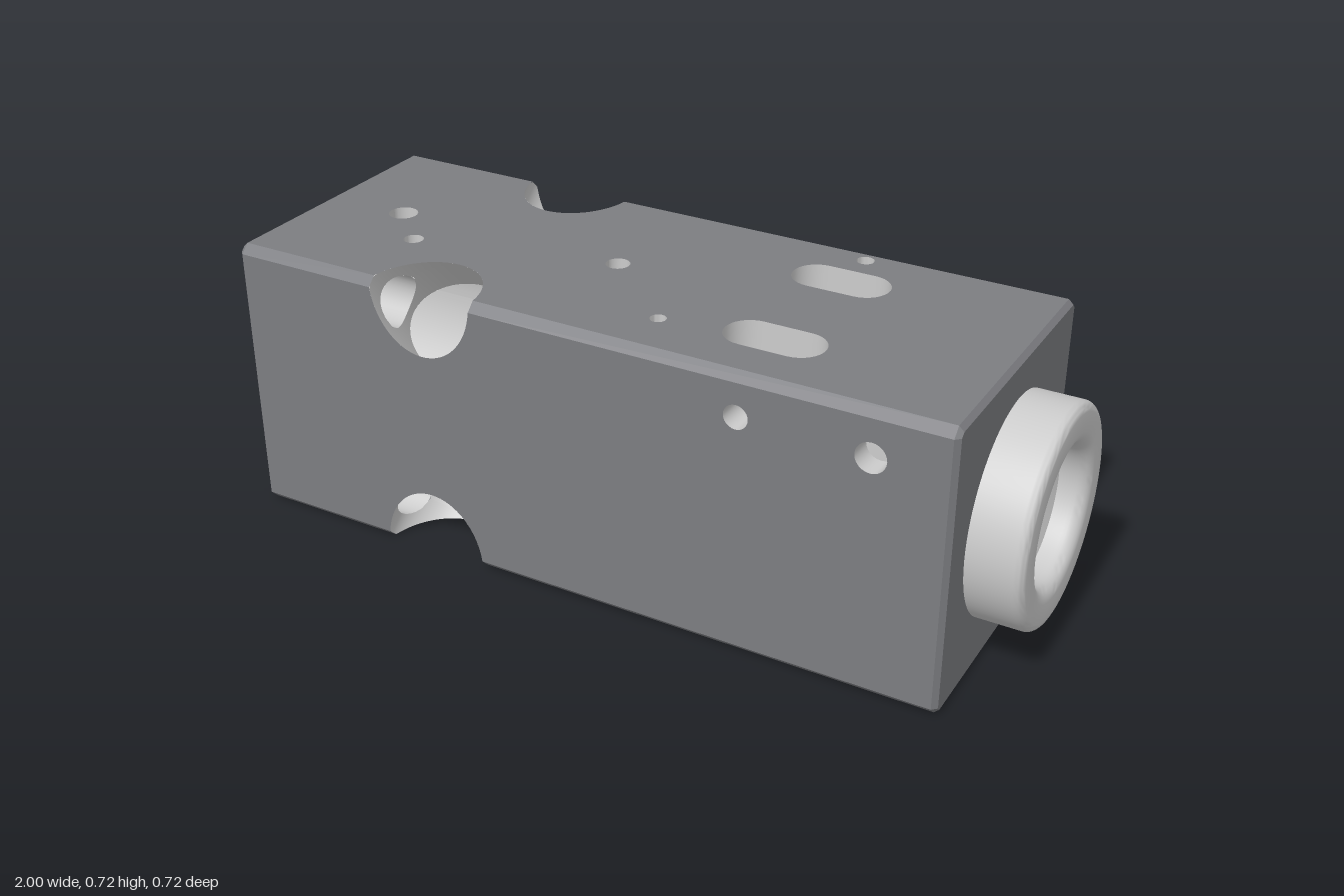
import * as THREE from 'three';
import { toCreasedNormals } from 'three/addons/utils/BufferGeometryUtils.js';

const H = 0.36, C = 0.022, E = 0.012;          // half side, edge chamfer, end chamfer
const X0 = -1, X1 = 0.868, R = 0.285;          // body ends, main bore radius
const NX = -0.463, NA = 0.1415, ND = 0.17;     // edge pocket: centre, half width, depth
const BOLT = 0.265, BR = 0.065;                // bolt hole offset and radius
const SX = 0.3625, SL = 0.059, SR = 0.0635, SW = 0.172; // slots

const dark = new THREE.MeshStandardMaterial({ color: 0x7c7d81, side: THREE.DoubleSide });
const light = new THREE.MeshStandardMaterial({ color: 0xcccccc, side: THREE.DoubleSide });

// Holes per face: k = 0 top, 1 front, 2 bottom, 3 back; w is the cross position
const HOLES = [
  { k: 0, x: -0.77, w: 0, r: 0.037 }, { k: 2, x: -0.77, w: 0, r: 0.037 },
  { k: 0, x: -0.14, w: 0, r: 0.03, d: 0.05 }, { k: 2, x: -0.14, w: 0, r: 0.03, d: 0.05 },
  { k: 0, x: -0.65, w: 0.12, r: 0.025, d: 0.05 },
  { k: 0, x: 0.09, w: 0.21, r: 0.02 }, { k: 2, x: 0.09, w: -0.21, r: 0.02 },
  { k: 0, x: 0.365, w: -0.305, r: 0.022, d: 0.72, open: true },
  { k: 2, x: 0.365, w: 0.305, r: 0.022, d: 0.001, open: true },
  { k: 1, x: 0.365, w: -0.255, r: 0.03, d: 0.12, open: true },
  { k: 3, x: 0.365, w: 0.255, r: 0.03, d: 0.12, open: true },
  { k: 1, x: 0.68, w: -0.245, r: 0.037, d: 0.06 }, { k: 3, x: 0.69, w: 0.255, r: 0.03, d: 0.06 },
  { k: 3, x: 0.605, w: 0, r: 0.035 }, { k: 3, x: 0.045, w: 0, r: 0.035 },
];

function mesh(parent, name, geo, mat) {
  const m = new THREE.Mesh(geo, mat);
  m.name = name;
  parent.add(m);
  return m;
}

// Surface through rows of [x, y, z] points
function sheet(rows) {
  const n = rows[0].length, idx = [];
  for (let i = 0; i < rows.length - 1; i++)
    for (let j = 0; j < n - 1; j++) {
      const a = i * n + j, b = a + n;
      idx.push(a, b, a + 1, b, b + 1, a + 1);
    }
  const g = new THREE.BufferGeometry();
  g.setAttribute('position', new THREE.Float32BufferAttribute(rows.flat(2), 3));
  g.setIndex(idx);
  g.computeVertexNormals();
  return toCreasedNormals(g, 0.6);
}

const circle = (x, w, r, n = 24) => Array.from({ length: n + 1 }, (_, i) => {
  const a = i / n * Math.PI * 2;
  return [x + r * Math.cos(a), w + r * Math.sin(a)];
});
const slot = (w) => Array.from({ length: 34 }, (_, i) => {
  const j = i % 33, s = j <= 15 || j === 32 ? 1 : -1;
  const a = j === 32 ? -Math.PI / 2 : s > 0 ? -Math.PI / 2 + j / 15 * Math.PI : Math.PI / 2 + (j - 16) / 15 * Math.PI;
  return [SX + s * SL + SR * Math.cos(a), w + SR * Math.sin(a)];
});
const path = (pts) => new THREE.Path(pts.map(([a, b]) => new THREE.Vector2(a, b)));
const shape = (pts, holes) => {
  const s = new THREE.Shape(pts.map(([a, b]) => new THREE.Vector2(a, b)));
  s.holes = holes.map(path);
  return s;
};

// Chamfered square cross-section as [z, y]
function octagon(h) {
  const b = H - C;
  return [[b, h], [h, b], [h, -b], [b, -h], [-b, -h], [-h, -b], [-h, b], [-b, h]];
}

function addFace(body, k) {
  const face = new THREE.Group();
  face.name = ['topSide', 'frontSide', 'bottomSide', 'backSide'][k];
  face.rotation.x = k * Math.PI / 2;
  body.add(face);

  // Flat panel with the pocket openings cut from both long edges
  const b = H - C, t0 = Math.asin(C / ND), edge = [[X0 + E, -b]];
  for (let i = 0; i <= 32; i++) {
    const a = t0 + (Math.PI - 2 * t0) * i / 32;
    edge.push([NX - NA * Math.cos(a), -(H - ND * Math.sin(a))]);
  }
  edge.push([X1 - E, -b]);
  const outline = [...edge, ...edge.map(([x, w]) => [x, -w]).reverse()];
  const holes = HOLES.filter((h) => h.k === k);
  const slots = k % 2 === 0 ? [slot(SW), slot(-SW)] : [];
  const cuts = [...holes.map((h) => circle(h.x, h.w, h.r)), ...slots];
  const g = new THREE.ShapeGeometry(shape(outline, cuts.map((c) => c.slice(0, -1))));
  mesh(face, 'panel', g.rotateX(Math.PI / 2).translate(0, H, 0), dark);

  // Walls of the holes and slots, down to the bore or to a floor
  const wall = (pts, end) => sheet([pts.map(([x, w]) => [x, H, w]), pts.map(([x, w]) => [x, end(w), w])]);
  const toBore = (w) => Math.sqrt(R * R - w * w);
  for (const h of holes) {
    mesh(face, 'holeWall', wall(circle(h.x, h.w, h.r), h.d ? () => H - h.d : toBore), light);
    if (h.d && !h.open)
      mesh(face, 'holeFloor', new THREE.CircleGeometry(h.r, 24).rotateX(-Math.PI / 2).translate(h.x, H - h.d, h.w), light);
  }
  for (const s of slots) mesh(face, 'slotWall', wall(s, toBore), light);

  // Chamfered edge on either side of the pocket
  const xn = NA * Math.cos(t0);
  for (const [xa, xb] of [[X0 + E, NX - xn], [NX + xn, X1 - E]])
    mesh(face, 'edgeChamfer', sheet([[[xa, H, b], [xb, H, b]], [[xa, b, H], [xb, b, H]]]), dark);

  // Pocket drilled diagonally into the edge; t = y - z, p = y + z
  const rows = [[], [], [], []];
  for (let i = 0; i <= 64; i++) {
    const a = i / 64 * Math.PI * 2, t = ND * Math.sin(a), x = NX + NA * Math.cos(a);
    const h = Math.cos(a) < 0 ? Math.sqrt(Math.max(0, 2 * BR * BR - t * t)) : 0;
    const outer = 2 * H - Math.max(C, Math.abs(t));
    [Math.sqrt(2 * R * R - t * t), 2 * BOLT - h, 2 * BOLT + h, outer].forEach((p, j) =>
      rows[j].push([x, (p + t) / 2, (p - t) / 2]));
  }
  mesh(face, 'pocketInnerWall', sheet(rows.slice(0, 2)), light);
  mesh(face, 'pocketOuterWall', sheet(rows.slice(2)), light);

  // Bolt hole from the open end into the pocket
  const ring = circle(BOLT, BOLT, BR, 32);
  mesh(face, 'boltHole', sheet([
    ring.map(([y, z]) => [X0, y, z]),
    ring.map(([y, z]) => [NX - NA * Math.sqrt(1 - ((y - z) / ND) ** 2), y, z]),
  ]), light);
}

function addBore(body) {
  // Columns along x, denser where an opening breaks through
  const xs = [X0, 0.8];
  for (const [c, h] of [[-0.77, 0.037], [NX, NA], [0.045, 0.035], [0.09, 0.02], [SX, SL + SR], [0.605, 0.035]])
    for (let i = 0; i <= 20; i++) xs.push(c - h * Math.cos(i / 20 * Math.PI));
  xs.sort((a, b) => a - b);
  const half = (x, c, r) => Math.sqrt(Math.max(0, r * r - (x - c) ** 2));
  const at = (x) => {
    let lo = Math.PI / 4, hi = lo;
    const gap = (w, h) => { lo = Math.asin((w - h) / R); hi = Math.asin((w + h) / R); };
    const ds = Math.abs(x - SX);
    if (Math.abs(x - NX) < NA) {
      const f = Math.asin(ND * Math.sqrt(1 - ((x - NX) / NA) ** 2) / (Math.SQRT2 * R));
      lo -= f; hi += f;
    } else if (ds < SL + SR) gap(SW, half(Math.max(0, ds - SL), 0, SR));
    else if (Math.abs(x - 0.09) < 0.02) gap(0.21, half(x, 0.09, 0.02));
    const g = Math.asin(half(x, -0.77, 0.037) / R);
    const k = Math.asin(Math.max(half(x, 0.045, 0.035), half(x, 0.605, 0.035)) / R);
    const P = Math.PI;
    return [[g, lo], [-lo, -g], [P - lo, P - g], [P + g, P + lo], [hi, P - hi], [P + hi, 1.5 * P - k], [1.5 * P + k, 2 * P - hi]];
  };
  for (let s = 0; s < 7; s++) {
    const rows = xs.map((x) => {
      const [a, b] = at(x)[s];
      return Array.from({ length: 13 }, (_, j) => {
        const q = a + (b - a) * j / 12;
        return [x, R * Math.cos(q), R * Math.sin(q)];
      });
    });
    mesh(body, 'boreWall', sheet(rows), light);
  }
}

export function createModel() {
  const model = new THREE.Group();
  model.name = 'cylinderHousing';
  const body = new THREE.Group();
  body.name = 'body';
  body.position.set(0, 0.72, 0.08);
  model.add(body);

  for (let k = 0; k < 4; k++) addFace(body, k);
  addBore(body);

  // End caps with a small bevel around them
  const bolts = [[1, 1], [1, -1], [-1, 1], [-1, -1]].map(([a, b]) => circle(a * BOLT, b * BOLT, BR, 32));
  const caps = [
    ['openEnd', X0, 1, [circle(0, 0, R, 64), ...bolts, circle(0.1, 0.3, 0.012)]],
    ['collarEnd', X1, -1, [circle(0, 0, 0.262, 64)]],
  ];
  for (const [name, x, s, holes] of caps) {
    const g = new THREE.ShapeGeometry(shape(octagon(H - E), holes.map((h) => h.slice(0, -1))));
    mesh(body, name, g.rotateY(-Math.PI / 2).translate(x, 0, 0), dark);
    const loop = (h, px) => { const o = octagon(h); return [...o, o[0]].map(([z, y]) => [px, y, z]); };
    mesh(body, name + 'Bevel', sheet([loop(H - E, x), loop(H, x + s * E)]), dark);
  }
  mesh(body, 'portHole', sheet([X0, -0.66].map((x) => circle(0.1, 0.3, 0.012).map(([z, y]) => [x, y, z]))), light);

  // Collar with rounded rim, stepped mouth and seal grooves
  const profile = [[R, 0.8], [0.135, 0.8], [0.135, 0.82], [0.15, 0.82], [0.15, 0.84], [0.135, 0.84], [0.135, 0.87],
    [0.15, 0.87], [0.15, 0.89], [0.135, 0.89], [0.135, 0.92], [0.163, 0.93], [0.163, 0.965]];
  for (let i = 1; i <= 6; i++) {
    const a = i / 6 * Math.PI / 2;
    profile.push([0.198 - 0.035 * Math.cos(a), 0.965 + 0.035 * Math.sin(a)]);
  }
  for (let i = 0; i <= 6; i++) {
    const a = i / 6 * Math.PI / 2;
    profile.push([0.243 + 0.022 * Math.sin(a), 0.978 + 0.022 * Math.cos(a)]);
  }
  profile.push([0.265, X1 - 0.01]);
  const lathe = new THREE.LatheGeometry(profile.map(([r, x]) => new THREE.Vector2(r, x)), 72);
  mesh(body, 'collar', toCreasedNormals(lathe.rotateZ(-Math.PI / 2), 0.6), light);
  return model;
}
